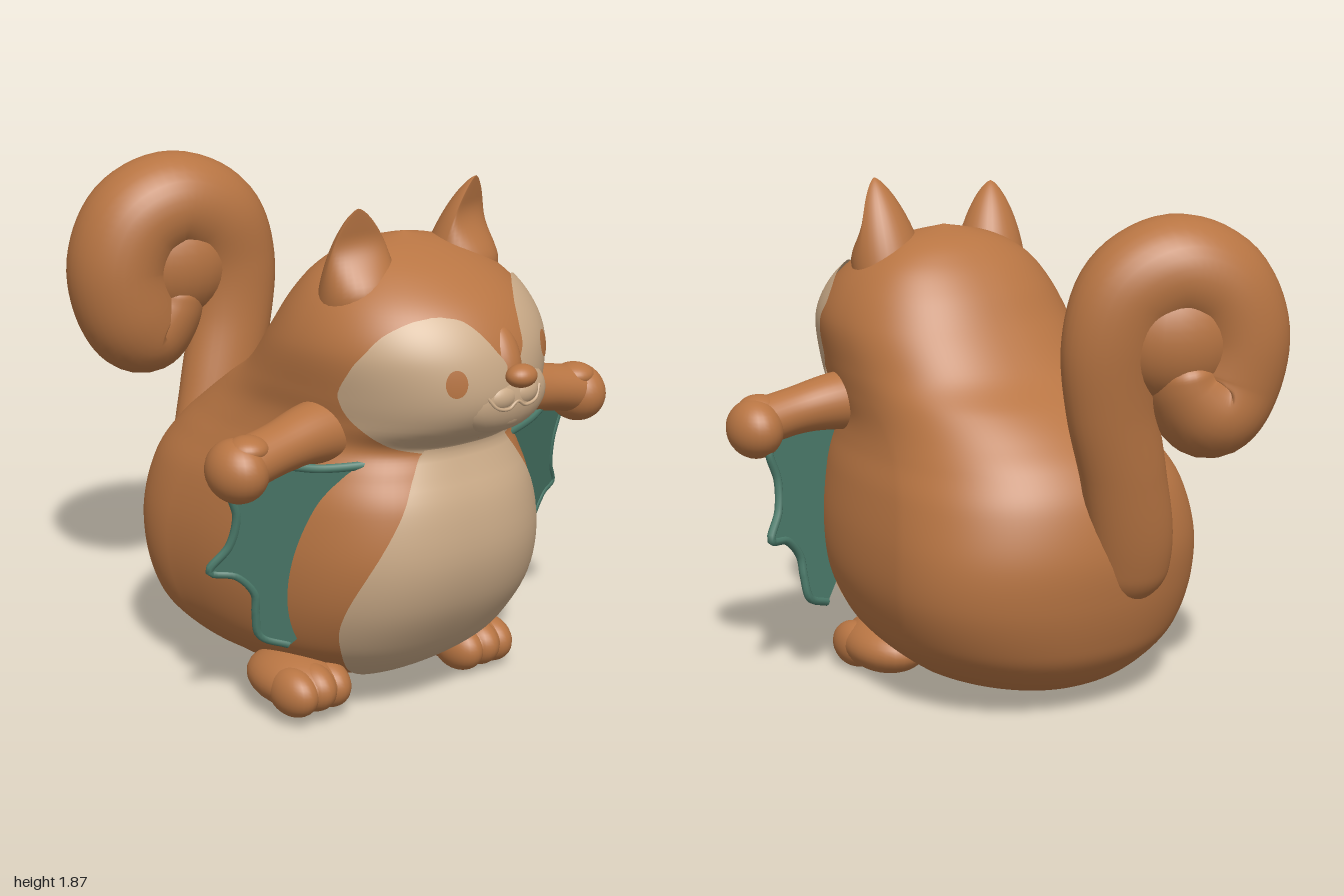
import * as THREE from 'three';

const V = (x, y, z) => new THREE.Vector3(x, y, z);
const spline = (pts) => new THREE.CatmullRomCurve3(pts, false, 'catmullrom', 0.5);

// Smooth surface from point(i / rows, j / cols); closed wraps the columns
function grid(rows, cols, point, closed) {
  const pos = [], idx = [], n = closed ? cols : cols + 1;
  for (let i = 0; i <= rows; i++)
    for (let j = 0; j < n; j++) pos.push(...point(i / rows, j / cols).toArray());
  for (let i = 0; i < rows; i++)
    for (let j = 0; j < cols; j++) {
      const k = (j + 1) % n, a = i * n + j, b = i * n + k;
      idx.push(a, b, b + n, a, b + n, a + n);
    }
  const g = new THREE.BufferGeometry();
  g.setAttribute('position', new THREE.Float32BufferAttribute(pos, 3));
  g.setIndex(idx);
  g.computeVertexNormals();
  return g;
}

// Oval tube with rounded ends: nodes are [point, radius in plane, radius along axis]
function sweep(nodes, axis, rows = 64, round = 0.08) {
  const path = spline(nodes.map((n) => n[0]));
  const radii = spline(nodes.map((n) => V(n[1], n[2], 0)));
  return grid(rows, 32, (t, u) => {
    t = (1 - Math.cos(t * Math.PI)) / 2;
    const T = path.getTangent(t), N = axis.clone().cross(T).normalize();
    const B = T.clone().cross(N), r = radii.getPoint(t);
    const e = Math.min(1, Math.min(t, 1 - t) / round), k = Math.sqrt(Math.max(0, 1 - (1 - e) ** 2));
    const a = u * Math.PI * 2;
    return path.getPoint(t).addScaledVector(N, Math.cos(a) * r.x * k).addScaledVector(B, Math.sin(a) * r.y * k);
  }, true);
}

// Body and head levels: y, centre x, half width, back z, widest z, front z
const LEVELS = [
  [0.03, -0.03, 0, 0, 0, 0], [0.034, -0.03, 0.12, -0.16, 0, 0.16], [0.05, -0.03, 0.24, -0.32, 0, 0.32],
  [0.1, -0.03, 0.37, -0.43, -0.02, 0.47], [0.2, -0.03, 0.49, -0.53, -0.06, 0.62], [0.3, -0.03, 0.555, -0.575, -0.1, 0.71],
  [0.45, -0.025, 0.595, -0.61, -0.13, 0.8], [0.62, -0.025, 0.595, -0.62, -0.13, 0.84],
  [0.8, -0.025, 0.56, -0.58, -0.08, 0.82], [0.92, -0.02, 0.515, -0.51, 0, 0.77], [1.01, -0.01, 0.485, -0.42, 0.09, 0.75],
  [1.1, 0, 0.47, -0.31, 0.2, 0.87], [1.2, 0, 0.47, -0.16, 0.3, 0.92], [1.35, 0, 0.465, -0.03, 0.4, 0.9],
  [1.48, 0, 0.41, 0.06, 0.42, 0.82], [1.58, 0, 0.32, 0.15, 0.4, 0.69], [1.65, 0, 0.19, 0.25, 0.4, 0.54],
  [1.69, 0, 0, 0.4, 0.4, 0.4]];
const curveA = spline(LEVELS.map((l) => V(l[0], l[1], l[2])));
const curveB = spline(LEVELS.map((l) => V(l[3], l[4], l[5])));
// Fuller corners on the body, rounder ones on the head
const power = (y) => 2.7 - 0.65 * THREE.MathUtils.smoothstep(y, 0.85, 1.2) - 0.4 * (1 - THREE.MathUtils.smoothstep(y, 0.03, 0.3));

function bodyPoint(t, u) {
  const A = curveA.getPoint(t), B = curveB.getPoint(t), a = u * Math.PI * 2;
  const front = Math.sin(a) < 0;
  const bend = (v) => Math.sign(v) * Math.abs(v) ** (2 / (front ? power(A.x) : 2.25));
  const c = bend(Math.cos(a)), s = bend(-Math.sin(a));
  const sway = front ? 0 : 0.05 * s * (1 - THREE.MathUtils.smoothstep(A.x, 0.7, 1.3));
  return V(A.y + sway + Math.max(0, A.z) * c, A.x, B.y + s * (front ? B.z - B.y : B.y - B.x));
}

// Front z of the body at x, y
function frontZ(x, y) {
  let lo = 0, hi = 1;
  for (let i = 0; i < 30; i++) {
    const m = (lo + hi) / 2;
    if (curveA.getPoint(m).x < y) lo = m; else hi = m;
  }
  const A = curveA.getPoint(lo), B = curveB.getPoint(lo), n = power(y);
  const q = Math.min(0.995, Math.abs(x - A.y) / A.z);
  return B.y + (B.z - B.y) * (1 - q ** n) ** (1 / n);
}

// Thin patch lying on the front of the body; rows are [y, left x, right x]
function patch(rows, lift, n = 40) {
  const edge = spline(rows.map((r) => V(...r)));
  return grid(n, n, (t, u) => {
    const e = edge.getPoint(t), y = e.x, x = e.y + (e.z - e.y) * u, h = 0.006;
    const normal = V(frontZ(x - h, y) - frontZ(x + h, y), frontZ(x, y - h) - frontZ(x, y + h), 2 * h).normalize();
    return V(x, y, frontZ(x, y)).addScaledVector(normal, lift);
  }, false);
}

// Pointed ear with rounded tip and a hollow front
function earGeometry(height) {
  return grid(32, 32, (t, u) => {
    const q = Math.sin(t * Math.PI / 2);
    const a = u * Math.PI * 2, r = 0.145 * (1 - q ** 1.7) ** 0.68;
    const hollow = THREE.MathUtils.smoothstep(q, 0.15, 0.75);
    const s = -Math.sin(a), z = s > 0 ? s * (1 - 0.95 * hollow) : s;
    return V(Math.cos(a) * r, q * height, z * r * 0.95 + 0.07 * q);
  }, true);
}

export function createModel() {
  const model = new THREE.Group();
  model.name = 'flyingSquirrel';
  const mat = (name, color, side = THREE.FrontSide) => {
    const m = new THREE.MeshStandardMaterial({ color, side });
    m.name = name;
    return m;
  };
  const fur = mat('brownFur', 0xb87543);
  const cream = mat('creamFur', 0xcbab88, THREE.DoubleSide);
  const green = mat('greenMembrane', 0x4b7a6a, THREE.DoubleSide);
  const add = (name, geo, material, parent = model) => {
    const m = new THREE.Mesh(geo, material);
    m.name = name;
    parent.add(m);
    return m;
  };
  const ball = (name, material, p, s) => {
    const m = add(name, new THREE.SphereGeometry(1, 28, 20), material);
    m.position.set(...p);
    m.scale.set(...s);
    return m;
  };

  // Body with head, belly and face mask
  add('body', grid(120, 96, bodyPoint, true), fur);
  add('belly', patch([[0.075, -0.05, 0.05], [0.1, -0.2, 0.18], [0.17, -0.32, 0.31], [0.28, -0.41, 0.41],
    [0.42, -0.45, 0.44], [0.6, -0.41, 0.42], [0.85, -0.28, 0.3], [1.01, -0.18, 0.19]], 0.009), cream);
  add('maskRight', patch([[0.99, -0.17, 0.03], [1.03, -0.29, 0.03], [1.1, -0.38, 0.03], [1.2, -0.425, 0.03],
    [1.3, -0.42, 0.02], [1.36, -0.395, -0.02], [1.42, -0.345, -0.065], [1.46, -0.27, -0.11], [1.475, -0.2, -0.17]], 0.009), cream);
  add('maskLeft', patch([[0.99, 0.03, 0.19], [1.03, 0.03, 0.3], [1.1, 0.03, 0.39], [1.2, 0.03, 0.435], [1.3, 0.07, 0.445],
    [1.36, 0.11, 0.442], [1.42, 0.125, 0.43], [1.48, 0.155, 0.39], [1.52, 0.21, 0.33], [1.535, 0.26, 0.28]], 0.009), cream);

  // Eyes
  for (const [name, x, y, w, h] of [['rightEye', -0.175, 1.27, 0.034, 0.046], ['leftEye', 0.255, 1.33, 0.034, 0.044]]) {
    const rows = [];
    for (let i = 0; i <= 8; i++) {
      const a = (i / 8 - 0.5) * Math.PI;
      rows.push([y + h * Math.sin(a), x - w * Math.cos(a), x + w * Math.cos(a)]);
    }
    add(name, patch(rows, 0.014, 14), fur);
  }

  // Muzzle, nose and smile
  ball('muzzle', cream, [0.045, 1.19, 0.84], [0.21, 0.13, 0.1]);
  ball('rightLip', cream, [0.005, 1.2, 0.9], [0.07, 0.05, 0.045]);
  ball('leftLip', cream, [0.1, 1.205, 0.9], [0.07, 0.05, 0.045]);
  ball('chin', cream, [0.05, 1.135, 0.885], [0.075, 0.05, 0.04]);
  ball('noseBridge', fur, [0.047, 1.33, 0.868], [0.062, 0.115, 0.05]).rotation.x = -0.42;
  ball('nose', fur, [0.055, 1.275, 0.95], [0.058, 0.04, 0.05]);
  const smile = spline([V(-0.068, 1.21, 0.92), V(-0.035, 1.172, 0.935), V(0.015, 1.163, 0.937), V(0.052, 1.185, 0.938),
    V(0.09, 1.166, 0.937), V(0.14, 1.178, 0.933), V(0.172, 1.22, 0.915)]);
  add('smile', new THREE.TubeGeometry(smile, 40, 0.006, 8), cream);

  // Ears
  for (const [name, x, y, z, h, tilt, turn] of [['rightEar', -0.25, 1.46, 0.46, 0.36, 0.08, -0.3],
    ['leftEar', 0.215, 1.51, 0.44, 0.36, -0.01, 0.3]]) {
    const ear = add(name, earGeometry(h), fur);
    ear.position.set(x, y, z);
    ear.rotation.set(0, turn, tilt);
  }

  // Arms, hands and wing membranes
  const outline = [[0.28, 0.96], [0.48, 0.955], [0.68, 0.98], [0.765, 0.92], [0.735, 0.8], [0.75, 0.69], [0.805, 0.6],
    [0.72, 0.575], [0.655, 0.5], [0.645, 0.42], [0.625, 0.335], [0.53, 0.29], [0.42, 0.4], [0.36, 0.7]];
  const wingZ = (x, y) => 0.628 - 0.476 * Math.abs(x) + 0.162 * y;
  for (const s of [1, -1]) {
    const side = s > 0 ? 'left' : 'right';
    add(side + 'Arm', sweep([[V(0.25 * s, 1.05, 0.44), 0.13, 0.13], [V(0.45 * s, 1.055, 0.46), 0.108, 0.112],
      [V(0.62 * s, 1.035, 0.48), 0.088, 0.095], [V(0.8 * s, 1, 0.49), 0.09, 0.1]], V(0, 0, 1), 30), fur);
    ball(side + 'Hand', fur, [0.785 * s, 0.99, 0.48], [0.1, 0.11, 0.125]);
    ball(side + 'Thumb', fur, [0.755 * s, 1.065, 0.5], [0.075, 0.045, 0.075]);
    const wing = new THREE.Group();
    wing.name = side + 'Wing';
    model.add(wing);
    const shape = new THREE.Shape(outline.map(([x, y]) => new THREE.Vector2(x * s, y)));
    const sheet = new THREE.ExtrudeGeometry(shape, { depth: 0.02, bevelEnabled: false });
    const p = sheet.attributes.position;
    for (let i = 0; i < p.count; i++) p.setZ(i, p.getZ(i) - 0.01 + wingZ(p.getX(i), p.getY(i)));
    sheet.computeVertexNormals();
    add(side + 'Membrane', sheet, green, wing);
    const rim = new THREE.CatmullRomCurve3(outline.slice(0, 12).map(([x, y]) => V(x * s, y, wingZ(x, y))), false, 'centripetal');
    add(side + 'WingRim', new THREE.TubeGeometry(rim, 90, 0.016, 8), green, wing);
  }

  // Feet with three soft toes each
  for (const [name, x, y] of [['rightFoot', -0.455, 0.125], ['leftFoot', 0.32, 0.1]]) {
    ball(name, fur, [x, y, 0.355], [0.145, 0.1, 0.205]);
    for (const i of [-1, 0, 1])
      ball(name + 'Toe', fur, [x + i * 0.072, y - (i ? 0.01 : 0.003), i ? 0.445 : 0.455], [0.074, 0.088, 0.115]);
  }

  // Tightly curled tail: [distance along curl, y, radius in plane, radius across, shift back]
  const curl = V(-0.94, 0, -0.3).normalize(), across = V(-curl.z, 0, curl.x);
  const tailPoint = (u, y, v) => V(0.08, y, -0.63).addScaledVector(curl, u).addScaledVector(across, v);
  const tail = [[0.19, 0.42, 0.14, 0.1, -0.18], [0.19, 0.66, 0.155, 0.11, -0.11], [0.14, 0.92, 0.155, 0.115, -0.06],
    [0.08, 1.18, 0.165, 0.12, -0.02], [0.075, 1.4, 0.185, 0.14, 0], [0.14, 1.57, 0.195, 0.17, 0], [0.29, 1.645, 0.195, 0.2, 0],
    [0.44, 1.58, 0.2, 0.21, 0], [0.51, 1.42, 0.2, 0.21, 0], [0.48, 1.25, 0.2, 0.2, 0], [0.41, 1.17, 0.185, 0.19, 0.02],
    [0.32, 1.25, 0.14, 0.18, 0.02], [0.29, 1.38, 0.1, 0.17, 0.02]];
  add('tail', sweep(tail.map(([u, y, r, w, v]) => [tailPoint(u, y, v), r, w]), across, 130, 0.05), fur);
  const hub = ball('tailCurlCentre', fur, tailPoint(0.3, 1.43, 0.01).toArray(), [0.25, 0.24, 0.185]);
  hub.rotation.y = Math.atan2(curl.z, -curl.x);
  return model;
}
